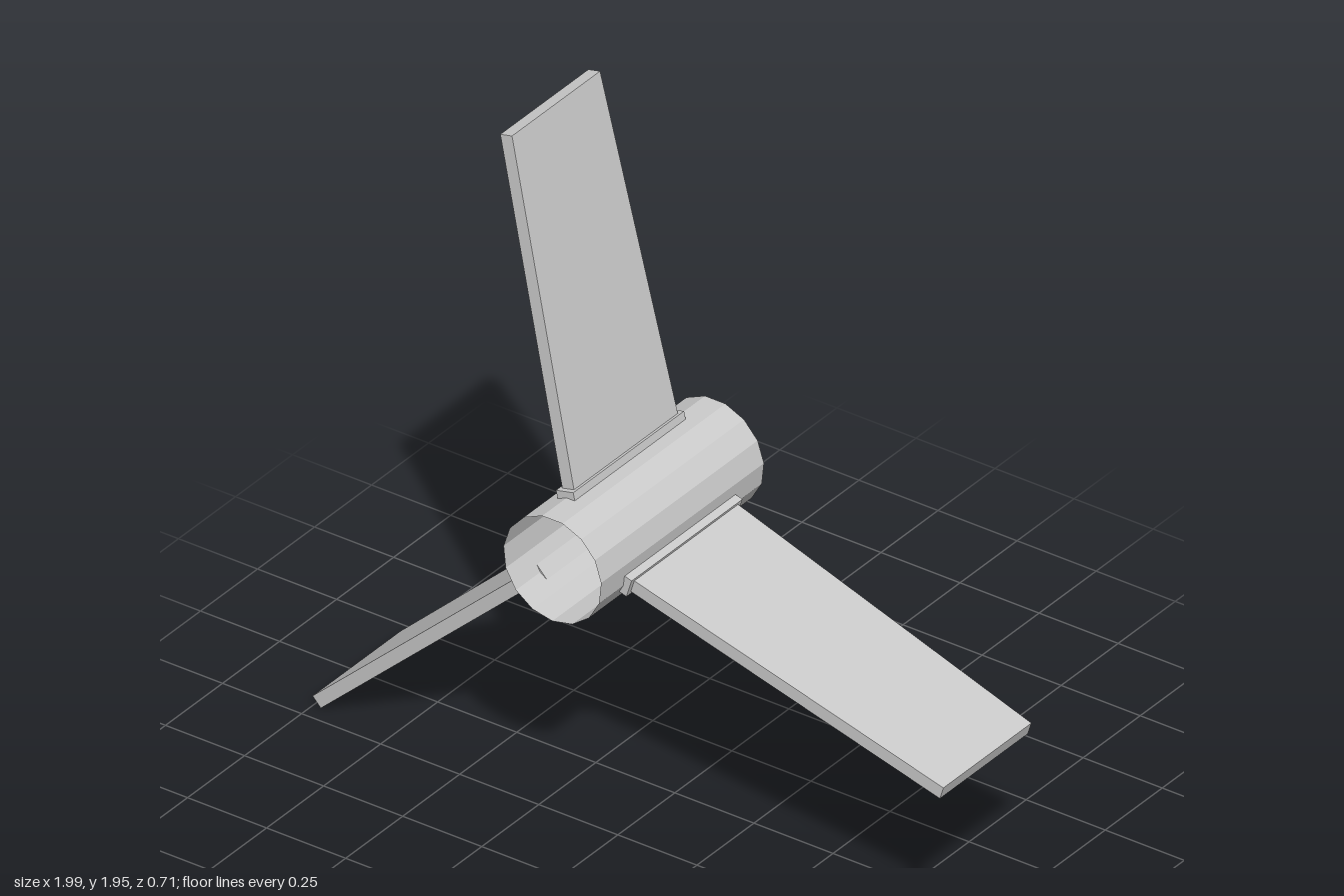
import * as THREE from 'three';

const HUB_RADIUS = 0.155, HUB_HALF = 0.357, SIDES = 15;

// Box running outward along y, tapered in z from root to tip
function radialBox(thickness, inner, outer, rootWidth, tipWidth) {
  const geo = new THREE.BoxGeometry(thickness, outer - inner, 1);
  geo.translate(0, (inner + outer) / 2, 0);
  const p = geo.attributes.position;
  const mid = (inner + outer) / 2;
  for (let i = 0; i < p.count; i++) {
    p.setZ(i, p.getZ(i) * (p.getY(i) < mid ? rootWidth : tipWidth) + 0.007);
  }
  geo.computeVertexNormals();
  return geo;
}

export function createModel() {
  const group = new THREE.Group();
  group.name = 'threeBladeRotor';
  const solid = new THREE.MeshStandardMaterial({ color: 0xcccccc, flatShading: true });
  const shell = new THREE.MeshStandardMaterial({ color: 0xcccccc, flatShading: true, side: THREE.DoubleSide });

  const add = (name, geo, mat, parent) => {
    const mesh = new THREE.Mesh(geo, mat);
    mesh.name = name;
    parent.add(mesh);
  };

  const rotor = new THREE.Group();
  rotor.name = 'rotor';
  rotor.position.set(-0.13, 0.815, 0);
  group.add(rotor);

  // Hollow hub, open at the front and closed at the back
  const wall = new THREE.CylinderGeometry(HUB_RADIUS, HUB_RADIUS, HUB_HALF * 2, SIDES, 1, true);
  wall.rotateX(Math.PI / 2);
  add('hubWall', wall, shell, rotor);
  const cap = new THREE.CircleGeometry(HUB_RADIUS, SIDES, -Math.PI / 2);
  cap.rotateY(Math.PI).translate(0, 0, -HUB_HALF);
  add('hubBackPlate', cap, shell, rotor);

  // Three tapered blades, each on a mounting pad
  const bladeGeo = radialBox(0.038, 0.16, 1.17, 0.456, 0.386);
  const padGeo = radialBox(0.056, 0.15, 0.173, 0.486, 0.486);
  for (let i = 0; i < 3; i++) {
    const arm = new THREE.Group();
    arm.name = 'bladeAssembly' + (i + 1);
    arm.rotation.z = THREE.MathUtils.degToRad(12.8 + i * 120);
    add('blade', bladeGeo, solid, arm);
    add('bladeMount', padGeo, solid, arm);
    rotor.add(arm);
  }
  return group;
}
